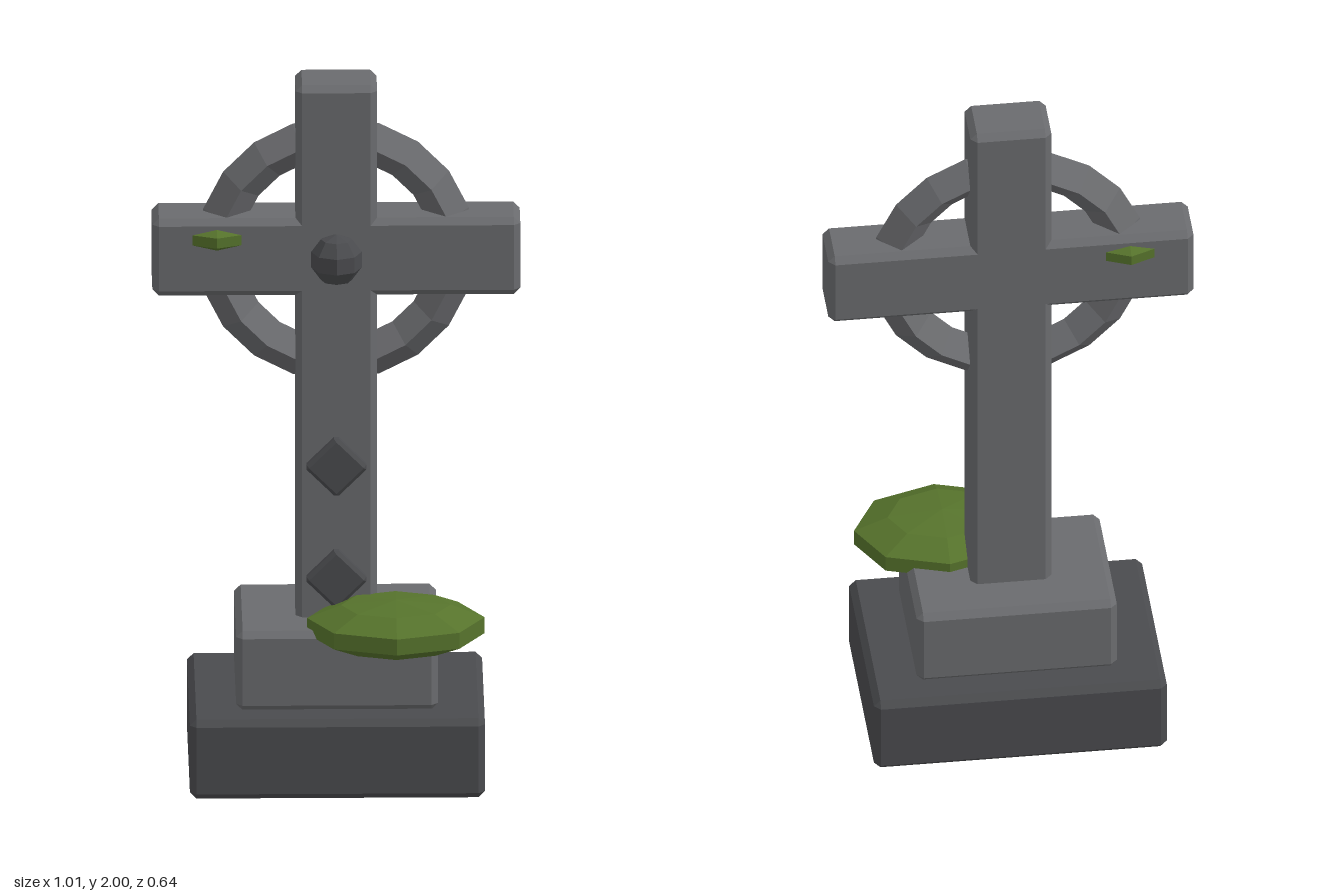
import * as THREE from 'three';
import { ConvexGeometry } from 'three/addons/geometries/ConvexGeometry.js';

const material = (color) => new THREE.MeshStandardMaterial({ color, flatShading: true });

// Box with every edge chamfered
function chamferedBox(w, h, d, c) {
  const points = [];
  for (const sx of [-1, 1]) for (const sy of [-1, 1]) for (const sz of [-1, 1]) {
    const x = w / 2, y = h / 2, z = d / 2;
    points.push(
      new THREE.Vector3(sx * x, sy * (y - c), sz * (z - c)),
      new THREE.Vector3(sx * (x - c), sy * y, sz * (z - c)),
      new THREE.Vector3(sx * (x - c), sy * (y - c), sz * z));
  }
  return new ConvexGeometry(points);
}

export function createModel() {
  const group = new THREE.Group();
  const stone = material(0x6a6b6e);
  const darkStone = material(0x4a4b4e);
  const moss = material(0x56732c);
  const midZ = -0.031;

  function add(name, geometry, mat, x, y, z) {
    const mesh = new THREE.Mesh(geometry, mat);
    mesh.name = name;
    mesh.position.set(x, y, z);
    group.add(mesh);
    return mesh;
  }

  // Stepped base
  add('base', chamferedBox(0.81, 0.23, 0.585, 0.018), darkStone, 0, 0.115, midZ);
  add('plinth', chamferedBox(0.554, 0.23, 0.42, 0.018), stone, 0, 0.343, midZ);

  // Cross
  add('shaft', chamferedBox(0.224, 1.56, 0.163, 0.018), stone, 0, 1.22, midZ);
  add('crossArm', chamferedBox(1.01, 0.224, 0.163, 0.018), stone, 0, 1.502, midZ);

  // Ring with a diamond cross-section
  add('ring', new THREE.TorusGeometry(0.323, 0.06, 4, 20), stone, 0, 1.502, midZ);

  // Carved ornaments on the front
  add('boss', new THREE.SphereGeometry(0.073, 8, 5), darkStone, 0, 1.502, 0.06);
  for (const y of [0.9, 0.574]) {
    const diamond = add('diamond', chamferedBox(0.126, 0.126, 0.045, 0.01), darkStone, 0, y, 0.055);
    diamond.rotation.z = Math.PI / 4;
  }

  // Moss clumps
  const clump = (name, x, y, z, rx, ry, rz) =>
    add(name, new THREE.SphereGeometry(1, 8, 5).scale(rx, ry, rz), moss, x, y, z);
  clump('baseMoss', 0.162, 0.462, 0.134, 0.256, 0.075, 0.192);
  clump('armMoss', -0.328, 1.556, midZ, 0.115, 0.047, 0.115);

  return group;
}
